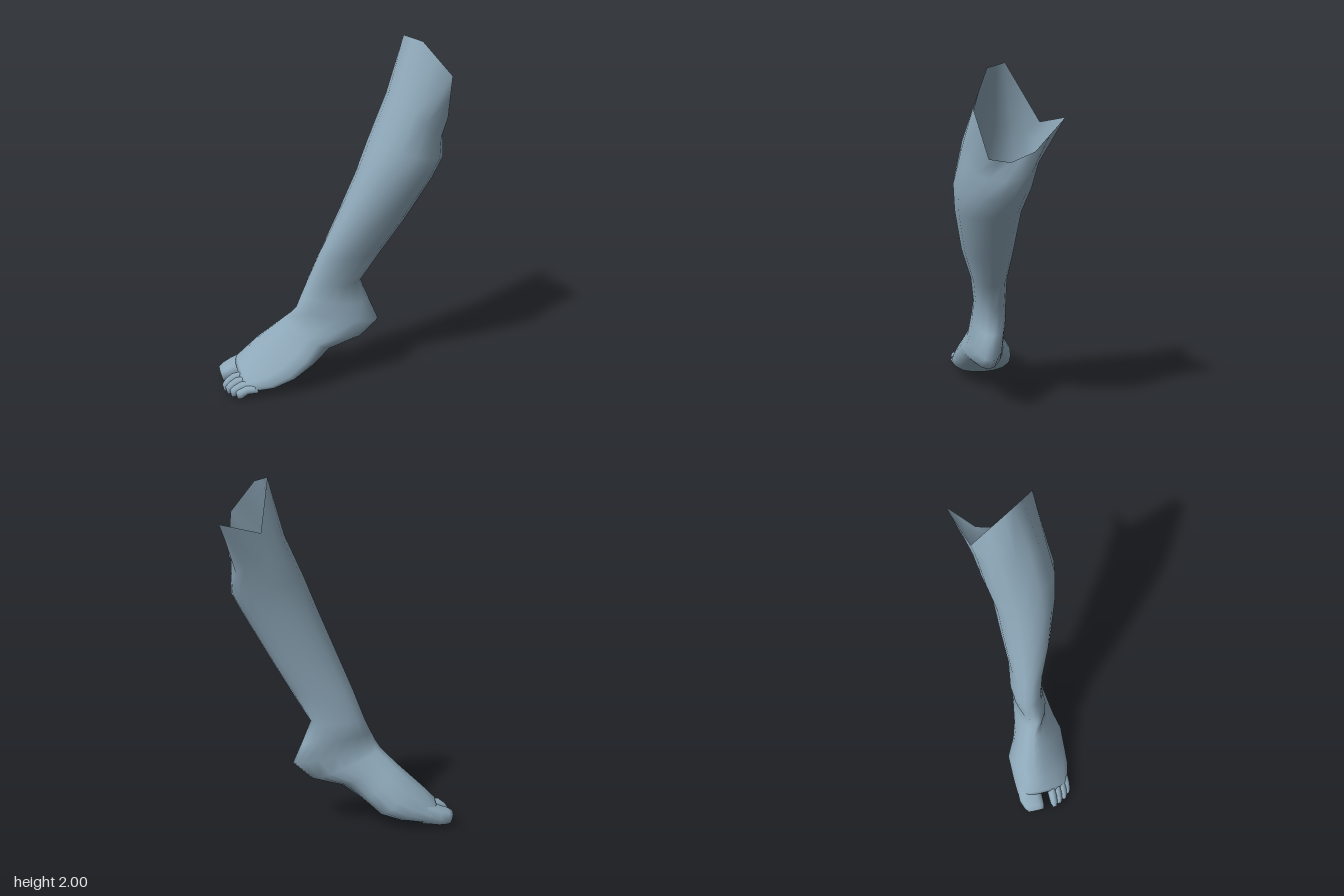
import * as THREE from 'three';

const SIDES = 16;
// foot frame: s runs heel to toe, t runs across the foot
const place = (s, y, t) => new THREE.Vector3(-0.867 * s + 0.5 * t, y, 0.5 * s + 0.867 * t);

// ring from a front (or top) point, a back (or sole) point, half width and sideways centre;
// sag lowers the widest part towards the sole, lean moves the top towards the inner side
function ring([fs, fy, bs, by, w, tc, sag = 0, lean = 0], power = 1) {
  const round = (v) => Math.sign(v) * Math.abs(v) ** power;
  return Array.from({ length: SIDES }, (_, j) => {
    const a = (j / SIDES) * Math.PI * 2;
    const c = round(Math.cos(a));
    const k = c - sag * (1 - c * c);
    const t = tc + round(Math.sin(a)) * w - lean * Math.max(0, c);
    return place((fs + bs) / 2 + k * (fs - bs) / 2, (fy + by) / 2 + k * (fy - by) / 2, t);
  });
}

// skin over rings, closed at the far end
function loft(rings) {
  const points = rings.flat();
  const index = [];
  for (let i = 0; i < rings.length - 1; i++) {
    for (let j = 0; j < SIDES; j++) {
      const a = i * SIDES + j, b = i * SIDES + (j + 1) % SIDES;
      index.push(a, a + SIDES, b, b, a + SIDES, b + SIDES);
    }
  }
  const last = rings[rings.length - 1];
  const tip = last.reduce((sum, p) => sum.add(p), new THREE.Vector3()).divideScalar(SIDES);
  const base = (rings.length - 1) * SIDES;
  for (let j = 0; j < SIDES; j++) index.push(points.length, base + (j + 1) % SIDES, base + j);
  const geometry = new THREE.BufferGeometry().setFromPoints([...points, tip]);
  geometry.setIndex(index);
  geometry.computeVertexNormals();
  return geometry;
}

export function createModel() {
  const group = new THREE.Group();
  group.name = 'lowerLeg';
  const skin = new THREE.MeshStandardMaterial({ color: 0x8fa9ba, side: THREE.DoubleSide });
  skin.name = 'blueGreySkin';
  const add = (name, geometry) => {
    const mesh = new THREE.Mesh(geometry, skin);
    mesh.name = name;
    group.add(mesh);
  };

  // ragged open rim below the knee, with one flared spike
  const corners = [
    [0.335, 2, -0.155], [0.45, 1.98, -0.105], [0.615, 1.81, -0.1], [0.59, 1.565, -0.17],
    [0.505, 1.54, -0.25], [0.45, 1.59, -0.355], [0.425, 1.76, -0.495], [0.28, 1.71, -0.32],
  ].map((p) => new THREE.Vector3(...p));
  const rim = corners.flatMap((p, i) => [p, p.clone().lerp(corners[(i + 1) % 8], 0.5)]);

  // shin, calf and ankle
  const leg = [
    [-0.28, 1.69, -0.582, 1.45, 0.198, 0.067],
    [-0.172, 1.45, -0.582, 1.36, 0.2, 0.098],
    [-0.09, 1.25, -0.525, 1.25, 0.173, 0.112],
    [0.018, 1.0, -0.378, 1.0, 0.14, 0.098],
    [0.105, 0.8, -0.255, 0.8, 0.1, 0.076],
    [0.172, 0.63, -0.141, 0.62, 0.092, 0.058],
    [0.21, 0.55, -0.192, 0.49, 0.093, 0.066],
    [0.24, 0.49, -0.245, 0.36, 0.09, 0.083],
  ].map((s) => ring(s, 0.95));

  // heel, arch, instep and ball of the foot
  const foot = [
    [0.268, 0.45, -0.14, 0.265, 0.108, 0.085, 0.12, 0.02],
    [0.31, 0.41, 0.04, 0.225, 0.127, 0.087, 0.22, 0.04],
    [0.375, 0.35, 0.15, 0.15, 0.157, 0.09, 0.35, 0.06],
    [0.455, 0.28, 0.25, 0.07, 0.185, 0.065, 0.37, 0.05],
    [0.525, 0.215, 0.38, 0.03, 0.183, 0.065, 0.38, 0.05],
    [0.585, 0.155, 0.52, 0.015, 0.168, 0.055, 0.33, 0.04],
    [0.595, 0.125, 0.56, 0.02, 0.152, 0.052, 0.3, 0.03],
  ].map((s) => ring(s, 1.15));
  add('legAndFoot', loft([rim, ...leg, ...foot]));

  // big toe, squared off at the tip
  add('bigToe', loft([
    [0.53, 0.15, 0.51, 0.02, 0.076, -0.035],
    [0.61, 0.115, 0.6, 0.012, 0.074, -0.035],
    [0.66, 0.095, 0.65, 0.01, 0.064, -0.025],
    [0.688, 0.08, 0.668, 0.012, 0.052, -0.018],
  ].map((s) => ring(s, 0.75))));

  // small toes, shorter towards the outside and curling down
  [[0.105, 0.685], [0.14, 0.67], [0.176, 0.65], [0.205, 0.62]].forEach(([t, end], i) => {
    add('smallToe' + (i + 1), loft([
      [end - 0.12, 0.12 - i * 0.012, end - 0.13, 0.03, 0.028, t],
      [end - 0.06, 0.11 - i * 0.01, end - 0.07, 0.03, 0.027, t],
      [end - 0.02, 0.08 - i * 0.006, end - 0.035, 0.005, 0.023, t],
      [end, 0.05, end - 0.01, 0.002, 0.012, t],
    ].map((s) => ring(s))));
  });
  return group;
}
